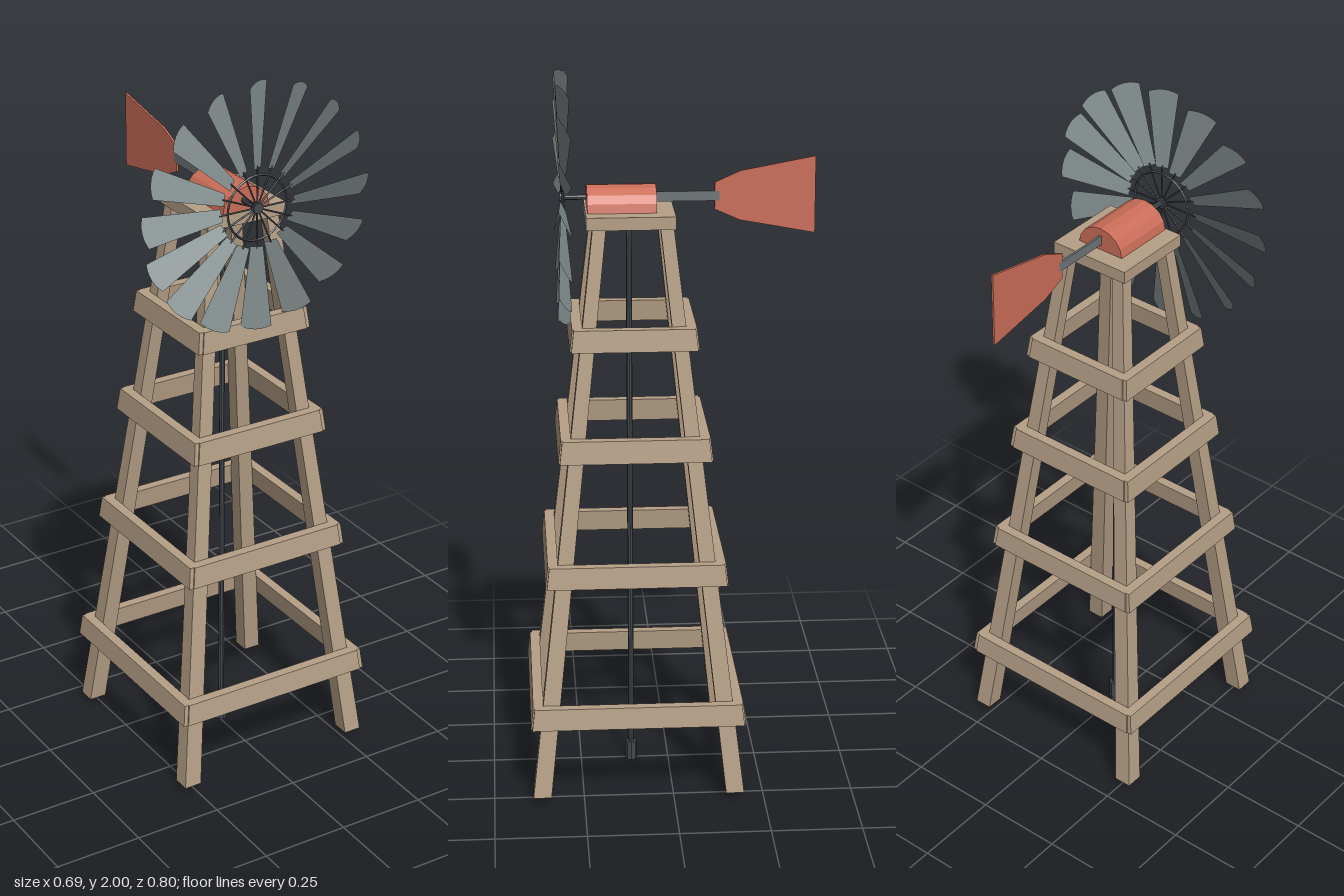
import * as THREE from 'three';

const mat = (name, color, extra = {}) =>
  Object.assign(new THREE.MeshStandardMaterial({ color, flatShading: true, ...extra }), { name });

export function createModel() {
  const wood = mat('wood', 0xb6a087);
  const red = mat('red paint', 0xcb6e59);
  const steel = mat('galvanised steel', 0x859090, { side: THREE.DoubleSide });
  const dark = mat('dark iron', 0x45494e);
  const grey = mat('boom grey', 0x6f7579);

  const root = new THREE.Group();
  const add = (parent, name, geo, material, x = 0, y = 0, z = 0) => {
    const m = new THREE.Mesh(geo, material);
    m.name = name;
    m.position.set(x, y, z);
    parent.add(m);
    return m;
  };
  // Box whose corners are placed by a rule taking the signs of each corner
  const ruledBox = (rule) => {
    const g = new THREE.BoxGeometry(2, 2, 2);
    const p = g.attributes.position;
    for (let i = 0; i < p.count; i++) p.setXYZ(i, ...rule(p.getX(i), p.getY(i), p.getZ(i)));
    g.computeVertexNormals();
    return g;
  };

  // Tower: four leaning, tapering legs
  const tower = new THREE.Group();
  tower.name = 'tower';
  tower.position.set(0.007, 0, 0.099);
  root.add(tower);
  const outer = (y) => 0.293 - 0.117 * (y - 0.02);
  const leg = ruledBox((x, y, z) => {
    const h = y > 0 ? 1.6 : 0.02, w = y > 0 ? 0.036 : 0.05, o = outer(h);
    return [x > 0 ? o : o - w, h, z > 0 ? o : o - w];
  });
  for (let i = 0; i < 4; i++) add(tower, 'leg', leg, wood).rotation.y = i * Math.PI / 2;

  // Four rings of boards that follow the lean of the legs
  for (const [y0, y1] of [[0.224, 0.284], [0.62, 0.68], [0.965, 1.028], [1.268, 1.328]]) {
    for (let i = 0; i < 4; i++) {
      const ext = i % 2 ? 0.024 : 0.016;
      const board = ruledBox((x, y, z) => {
        const h = y > 0 ? y1 : y0, o = outer(h);
        return [x * (o + ext), h, z > 0 ? o + 0.028 : o];
      });
      add(tower, 'crossBoard', board, wood).rotation.y = i * Math.PI / 2;
    }
  }
  add(root, 'platform', new THREE.BoxGeometry(0.24, 0.035, 0.24), wood, 0.008, 1.608, 0.105);

  // Pump rod and foot
  add(root, 'pumpRod', new THREE.CylinderGeometry(0.008, 0.008, 1.56, 8), dark, 0.008, 0.82, 0.106);
  add(root, 'pumpFoot', new THREE.CylinderGeometry(0.016, 0.016, 0.055, 8), dark, 0.008, 0.0275, 0.106);

  // Half-barrel gear housing
  const arch = new THREE.Shape();
  for (let i = 0; i <= 8; i++) {
    const a = i * Math.PI / 8;
    arch[i ? 'lineTo' : 'moveTo'](0.072 * Math.cos(a), 0.065 * Math.sin(a));
  }
  add(root, 'gearHousing', new THREE.ExtrudeGeometry(arch, { depth: 0.187, bevelEnabled: false }),
    red, 0.008, 1.625, 0.033);

  // Tail boom and vane
  add(root, 'tailBoom', new THREE.BoxGeometry(0.006, 0.027, 0.18), grey, 0.008, 1.655, -0.05);
  const vane = new THREE.Shape([[0.127, 0.037], [0.196, 0.068], [0.4, 0.106],
    [0.4, -0.106], [0.196, -0.068], [0.127, -0.037]].map(([x, y]) => new THREE.Vector2(x, y)));
  add(root, 'tailVane', new THREE.ExtrudeGeometry(vane, { depth: 0.006, bevelEnabled: false }),
    red, 0.011, 1.655, 0).rotation.y = Math.PI / 2;
  root.children.at(-1).position.x = 0.005;

  // Wheel: axle, hub, ring, spokes and pitched blades
  const wheel = new THREE.Group();
  wheel.name = 'wheel';
  wheel.position.set(0, 1.655, 0.285);
  root.add(wheel);
  add(wheel, 'axle', new THREE.CylinderGeometry(0.008, 0.008, 0.08, 8), dark, 0, 0, -0.035).rotation.x = Math.PI / 2;
  add(wheel, 'hub', new THREE.CylinderGeometry(0.015, 0.015, 0.014, 10), dark).rotation.x = Math.PI / 2;
  add(wheel, 'spokeRing', new THREE.TorusGeometry(0.09, 0.0035, 4, 32), dark);

  const blade = new THREE.Shape();
  blade.moveTo(-0.017, 0.108);
  blade.lineTo(0.017, 0.108);
  blade.lineTo(0.041, 0.335);
  blade.quadraticCurveTo(0, 0.355, -0.041, 0.335);
  const bladeGeo = new THREE.ShapeGeometry(blade, 6);
  const spokeGeo = new THREE.CylinderGeometry(0.0025, 0.0025, 0.115, 5);
  for (let i = 0; i < 16; i++) {
    const arm = new THREE.Group();
    arm.name = 'bladeArm';
    arm.rotation.z = i * Math.PI / 8;
    add(arm, 'spoke', spokeGeo, dark, 0, 0.0575, 0);
    add(arm, 'blade', bladeGeo, steel).rotation.y = 0.45;
    wheel.add(arm);
  }
  return root;
}
